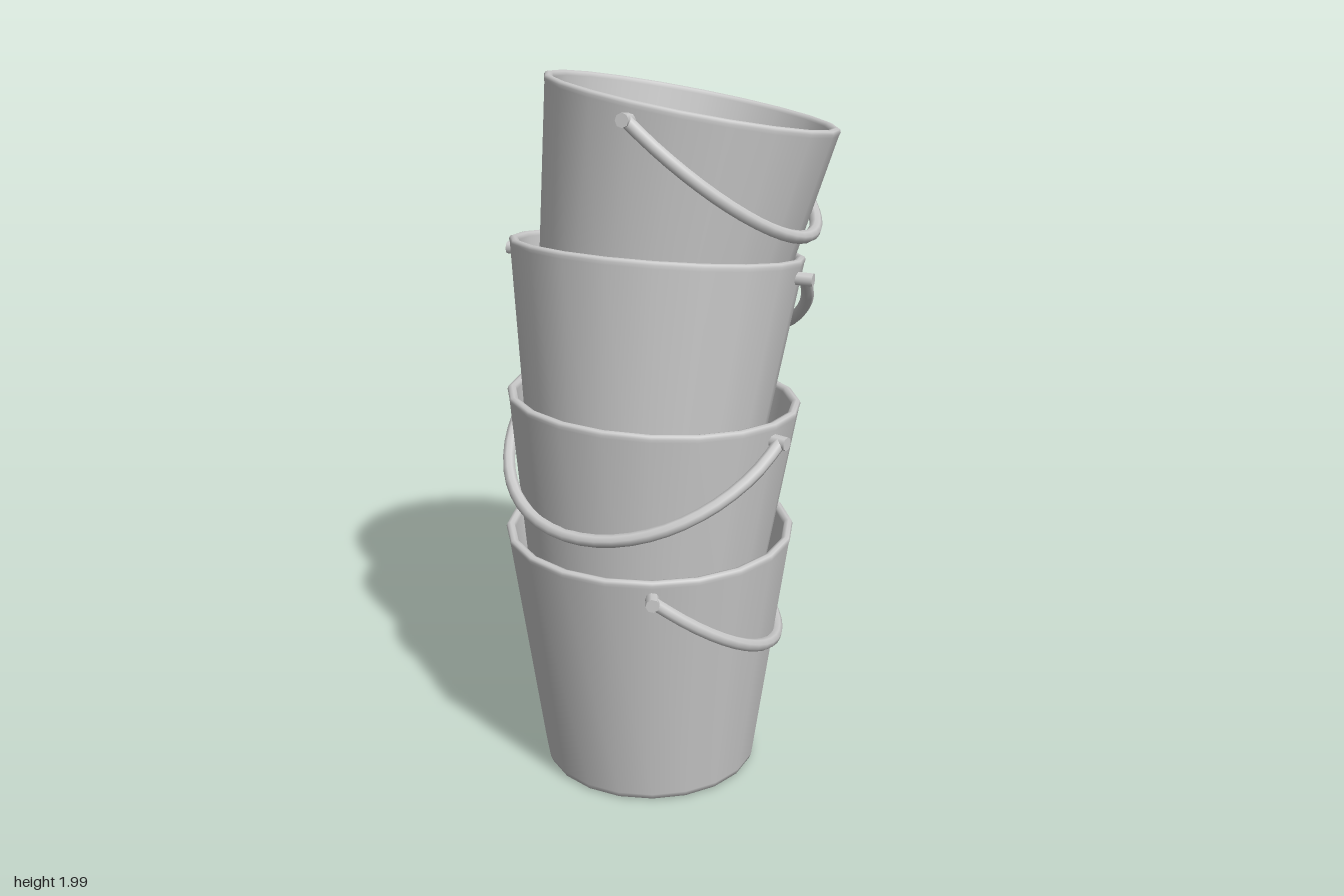
import * as THREE from 'three';

const HEIGHT = 0.735, PIVOT_Y = 0.685, SIDES = 20;
const material = new THREE.MeshStandardMaterial({ color: 0xcccccc });

function part(name, geometry) {
  const mesh = new THREE.Mesh(geometry, material);
  mesh.name = name;
  return mesh;
}

// Tapered shell: underside, outer wall, rounded rim, inner wall, floor
function bucketShell() {
  const profile = [
    [0, 0], [0.296, 0], [0.306, 0.004], [0.312, 0.02],
    [0.408, 0.715], [0.411, 0.724], [0.408, 0.732], [0.399, HEIGHT],
    [0.389, 0.732], [0.385, 0.722], [0.292, 0.05], [0.28, 0.034], [0.262, 0.028], [0, 0.028],
  ].map(([r, y]) => new THREE.Vector2(r, y));
  return part('shell', new THREE.LatheGeometry(profile, SIDES));
}

// Half-elliptical bail hinged on the local z axis, dropped by an angle towards local +x
function bail(drop) {
  const group = new THREE.Group();
  group.name = 'handle';
  const halfWidth = 0.425, reach = 0.461;
  const points = [];
  for (let i = 0; i <= 16; i++) {
    const t = (i / 16) * Math.PI;
    points.push(new THREE.Vector3(reach * Math.sin(t), 0, halfWidth * Math.cos(t)));
  }
  const curve = new THREE.CatmullRomCurve3(points);
  group.add(part('bail', new THREE.TubeGeometry(curve, 28, 0.018, 8)));
  // Hinge pegs through the wall
  for (const side of [-1, 1]) {
    const peg = part('hingePeg', new THREE.CylinderGeometry(0.019, 0.019, 0.055, 8));
    peg.rotation.x = Math.PI / 2;
    peg.position.z = side * 0.42;
    group.add(peg);
  }
  group.position.y = PIVOT_Y;
  group.rotation.z = -drop;
  return group;
}

// rim: centre of the rim; lean: x and z slope of the axis; swing: x and z heading of the handle
const buckets = [
  { rim: [-0.046, 0.735, 0.055], lean: [0, 0], swing: [1, 0], drop: 36.6 },
  { rim: [-0.032, 1.121, 0.04], lean: [0.05, -0.055], swing: [-0.62, 0.78], drop: 37 },
  { rim: [-0.02, 1.522, -0.042], lean: [0.075, -0.147], swing: [0.35, -0.94], drop: 31 },
  { rim: [0.077, 1.914, -0.095], lean: [0.19, -0.073], swing: [0.9, 0.42], drop: 31 },
];

export function createModel() {
  const model = new THREE.Group();
  model.name = 'bucketStack';
  const up = new THREE.Vector3(0, 1, 0);
  buckets.forEach(({ rim, lean, swing, drop }, i) => {
    const bucket = new THREE.Group();
    bucket.name = `bucket${i + 1}`;
    bucket.add(bucketShell(), bail(THREE.MathUtils.degToRad(drop)));
    // Turn about its own axis, then lean the axis
    const axis = new THREE.Vector3(lean[0], 1, lean[1]).normalize();
    const yaw = new THREE.Quaternion().setFromAxisAngle(up, Math.atan2(-swing[1], swing[0]));
    bucket.quaternion.setFromUnitVectors(up, axis).multiply(yaw);
    bucket.position.set(...rim).addScaledVector(axis, -HEIGHT);
    model.add(bucket);
  });
  return model;
}
